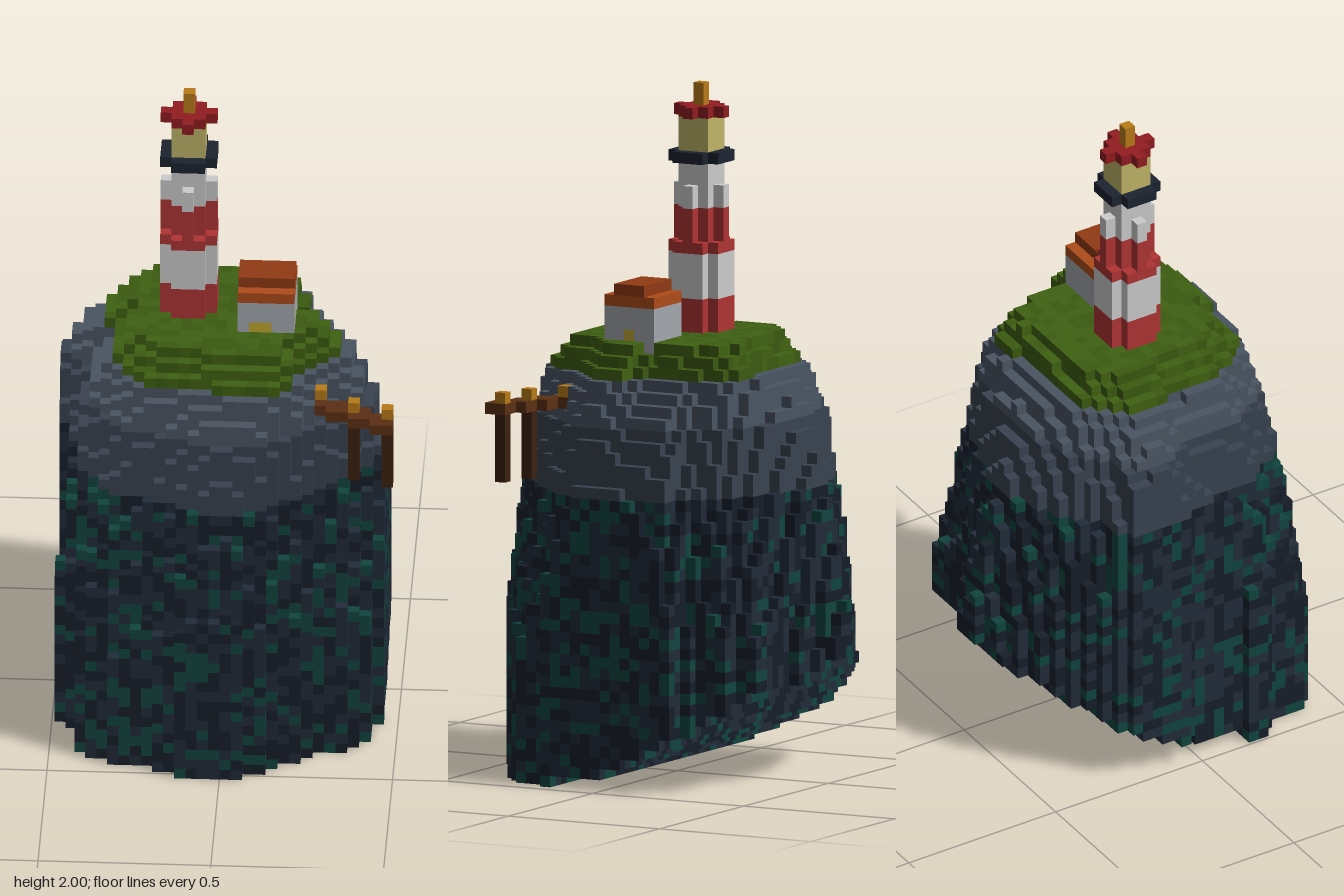
import * as THREE from 'three';

const V = 2 / 61; // cube size: the grid is 30 x 61 x 32 cells
const COLORS = {
  navy: 0x171e29, night: 0x212b39, teal: 0x11443f, slateDark: 0x38424f, slate: 0x4a5563,
  grass: 0x406212, moss: 0x3a5a10, red: 0xb03434, crimson: 0x921c20, white: 0xc4c4c4, iron: 0x1c2430,
  lamp: 0xc0b468, window: 0xc0a830, gold: 0xb87a18, wall: 0xa4a8ae, roof: 0xae4c1a, ridge: 0x923a14,
  plank: 0x5c3014, post: 0x3c200f,
};

// Contours of the island (x, z): base, foot of the cliff and edge of the grass
const BASE = [[.46, -.05], [.46, .1], [.46, .2], [.43, .2], [.43, .27], [.385, .33], [.365, .36], [.27, .365], [.265, .39],
  [.23, .395], [.2, .43], [.13, .46], [.13, .49], [.065, .49], [.065, .53], [-.13, .53], [-.13, .49], [-.2, .49], [-.21, .46],
  [-.3, .45], [-.38, .41], [-.435, .365], [-.44, .26], [-.49, .23], [-.465, .1], [-.465, 0], [-.49, -.08],
  [-.49, -.23], [-.42, -.28], [-.39, -.33], [-.3, -.41], [-.2, -.47], [-.11, -.5], [-.105, -.535], [-.03, -.535], [.03, -.465],
  [.12, -.43], [.29, -.43], [.3, -.37], [.36, -.36], [.365, -.26], [.46, -.23]];
const CLIFF = [[.445, -.05], [.445, .1], [.41, .17], [.36, .2], [.3, .29], [.2, .36], [.13, .42], [.03, .46], [-.05, .455],
  [-.13, .41], [-.2, .375], [-.33, .35], [-.36, .28], [-.43, .2], [-.44, .1], [-.45, 0], [-.53, -.1], [-.53, -.23],
  [-.38, -.26], [-.33, -.33], [-.2, -.39], [-.08, -.43], [.08, -.39], [.2, -.34], [.28, -.3], [.33, -.22], [.42, -.19]];
const GRASS = [[.23, -.03], [.32, .02], [.325, .1], [.26, .16], [.21, .2], [.2, .29], [.13, .33], [0, .32], [-.1, .29],
  [-.2, .29], [-.27, .23], [-.33, .13], [-.31, -.03], [-.36, -.05], [-.36, -.13], [-.32, -.2], [-.26, -.265], [.06, -.27],
  [.08, -.3], [.13, -.29], [.2, -.26], [.21, -.19], [.235, -.12]];

// Distance from the centre to a contour in the direction of (x, z)
function reach(poly, x, z) {
  const l = Math.hypot(x, z), dx = x / l, dz = z / l;
  let far = 0;
  poly.forEach(([ax, az], n) => {
    const [bx, bz] = poly[(n + 1) % poly.length], ex = bx - ax, ez = bz - az;
    const det = dx * ez - dz * ex;
    if (Math.abs(det) < 1e-9) return;
    const t = (ax * ez - az * ex) / det, s = (ax * dz - az * dx) / det;
    if (t > 0 && s >= -1e-6 && s <= 1 + 1e-6) far = Math.max(far, t);
  });
  return far;
}

// Number of cubes up to the surface of one column, 0 outside the island
function columnHeight(x, z) {
  const r = Math.hypot(x, z), base = reach(BASE, x, z);
  if (r > base) return 0;
  const cliff = reach(CLIFF, x, z), grass = reach(GRASS, x, z);
  if (r < grass) return r < grass * .84 ? 39 : r < grass * .92 ? 38 : 37;
  if (r < cliff) return Math.round(36 - 9 * ((r - grass) / (cliff - grass)) ** 1.8);
  return Math.round(26 - 15 * ((r - cliff) / Math.max(base - cliff, .06)) ** 1.25);
}

export function createModel() {
  const cells = new Map();
  const key = (i, j, k) => (i + 2) + 64 * ((j + 2) + 64 * (k + 2));
  const put = (part, color, i, j, k) => cells.set(key(i, j, k), { part, color, i, j, k });
  const fill = (part, color, i0, i1, j0, j1, k0, k1) => {
    for (let i = i0; i <= i1; i++) for (let j = j0; j <= j1; j++) for (let k = k0; k <= k1; k++) put(part, color, i, j, k);
  };
  let seed = 7;
  const random = () => (seed = (seed * 16807) % 2147483647) / 2147483647;

  // Island: columns of cubes over an underside that rises towards the back
  for (let i = 0; i < 30; i++) for (let k = 0; k < 32; k++) {
    const x = (i - 14.5) * V, z = (k - 15.5) * V;
    const top = columnHeight(x, z);
    const floor = Math.ceil(.65 * Math.max(0, .165 - z) ** 1.6 / V);
    for (let j = floor; j < top; j++) {
      const n = random();
      if (j >= 36) put('grassTop', n < .5 ? 'grass' : 'moss', i, j, k);
      else if (j >= 26) put('cliff', j >= 32 ? 'slate' : 'slateDark', i, j, k);
      else put('seaRock', n < .24 ? 'teal' : n < .62 ? 'navy' : 'night', i, j, k);
    }
  }

  // Lighthouse: stacked octagon, diamond and square rings
  const octagon = (a, b) => a + b < 4, diamond = (a, b) => a + b < 3, square = (a, b) => a < 2 && b < 2;
  const ring = (part, color, shape, j0, j1) => {
    for (let a = -2; a <= 2; a++) for (let b = -2; b <= 2; b++)
      if (shape(Math.abs(a), Math.abs(b))) fill(part, color, 11 + a, 11 + a, j0, j1, 15 + b, 15 + b);
  };
  ring('tower', 'red', octagon, 39, 41);
  ring('tower', 'white', octagon, 42, 45);
  ring('tower', 'red', octagon, 46, 46);
  ring('tower', 'red', diamond, 47, 49);
  ring('tower', 'white', diamond, 50, 51);
  ring('tower', 'white', square, 52, 53);
  ring('gallery', 'iron', octagon, 54, 54);
  ring('lantern', 'lamp', square, 55, 57);
  ring('lanternRoof', 'crimson', diamond, 58, 58);
  fill('spire', 'gold', 11, 11, 59, 60, 15, 15);

  // Cottage
  fill('cottageWalls', 'wall', 16, 20, 38, 41, 15, 19);
  fill('cottageWindow', 'window', 17, 18, 39, 39, 19, 19);
  fill('cottageWindow', 'window', 20, 20, 39, 39, 17, 17);
  fill('cottageRoof', 'roof', 16, 20, 42, 42, 15, 19);
  fill('cottageRoof', 'ridge', 16, 20, 43, 43, 16, 18);

  // Jetty with posts and lamps
  for (let i = 23; i <= 29; i++) {
    const k = 22 + Math.round((i - 23) / 2);
    fill('jettyDeck', 'plank', i, i, 33, 33, k, k + 1);
    if (i % 3 === 2) {
      fill('jettyLamp', 'gold', i, i, 34, 34, k, k);
      if (i > 23) fill('jettyPost', 'post', i, i, 27, 32, k, k);
    }
  }

  // Turn the exposed cube sides into one mesh per part and colour
  const sides = [0, 1, 2].flatMap((axis) => [1, -1].map((s) => ({ axis, s })));
  const batches = new Map();
  for (const c of cells.values()) {
    const p = [c.i, c.j, c.k];
    for (const { axis, s } of sides) {
      const q = p.slice();
      q[axis] += s;
      if (cells.has(key(...q))) continue;
      const u = (axis + 1) % 3, v = (axis + 2) % 3;
      const corner = (a, b) => {
        const o = p.slice();
        if (s > 0) o[axis]++;
        o[u] += a;
        o[v] += b;
        return [(o[0] - 15) * V, o[1] * V, (o[2] - 16) * V];
      };
      const A = corner(0, 0), B = s > 0 ? corner(1, 0) : corner(0, 1), C = corner(1, 1), D = s > 0 ? corner(0, 1) : corner(1, 0);
      const id = c.part + ' ' + c.color;
      if (!batches.has(id)) batches.set(id, []);
      batches.get(id).push(...A, ...B, ...C, ...A, ...C, ...D);
    }
  }
  const model = new THREE.Group();
  model.name = 'lighthouseIsland';
  const parts = {};
  for (const [id, positions] of batches) {
    const [part, color] = id.split(' ');
    if (!parts[part]) {
      parts[part] = new THREE.Group();
      parts[part].name = part;
      model.add(parts[part]);
    }
    const geometry = new THREE.BufferGeometry();
    geometry.setAttribute('position', new THREE.Float32BufferAttribute(positions, 3));
    geometry.computeVertexNormals();
    const mesh = new THREE.Mesh(geometry, new THREE.MeshStandardMaterial({ color: COLORS[color] }));
    mesh.name = part + color[0].toUpperCase() + color.slice(1);
    parts[part].add(mesh);
  }
  return model;
}
